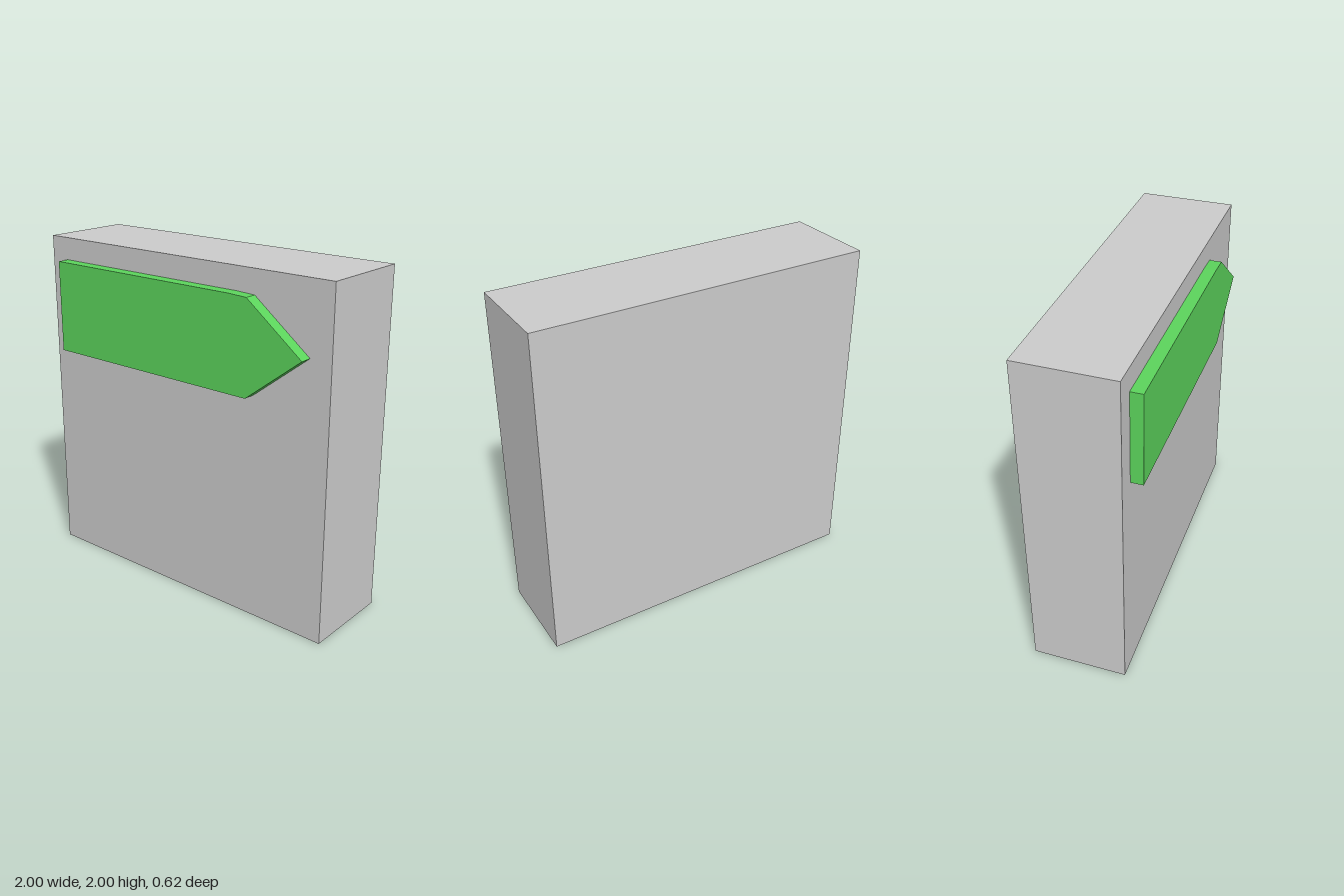
import * as THREE from 'three';

const BACK = -0.31, FACE = 0.24, FRONT = 0.31;

export function createModel() {
  const model = new THREE.Group();
  model.name = 'signBlock';

  // Upright slab
  const depth = FACE - BACK;
  const slab = new THREE.Mesh(
    new THREE.BoxGeometry(2, 2, depth),
    new THREE.MeshStandardMaterial({ color: 0xcccccc })
  );
  slab.name = 'slab';
  slab.position.set(0, 1, BACK + depth / 2);
  model.add(slab);

  // Raised arrow plate, pointing to +x, its top edge dipping slightly before the tip
  const outline = new THREE.Shape([
    [-0.88, 1.325], [0.52, 1.325], [0.87, 1.595],
    [0.52, 1.863], [0.4, 1.868], [-0.88, 1.868]
  ].map(([x, y]) => new THREE.Vector2(x, y)));
  const arrow = new THREE.Mesh(
    new THREE.ExtrudeGeometry(outline, { depth: FRONT - FACE, bevelEnabled: false }),
    new THREE.MeshStandardMaterial({ color: 0x5cd45c })
  );
  arrow.name = 'arrowPlate';
  arrow.position.z = FACE;
  model.add(arrow);

  return model;
}
